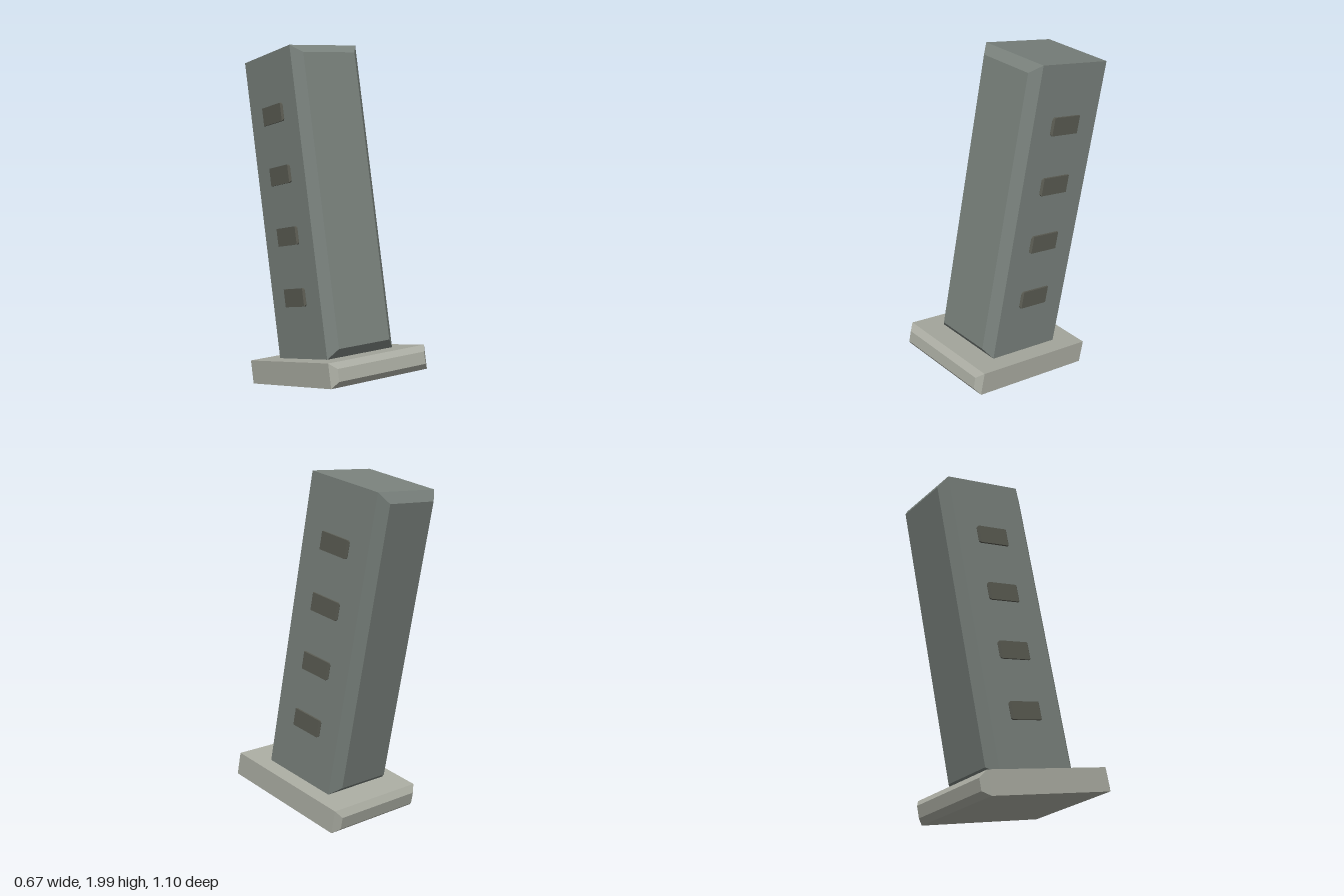
import * as THREE from 'three';

const TILT = THREE.MathUtils.degToRad(-12);

// Block extruded along z, with its front and back ends chamfered
function chamferedBlock(name, halfWidth, y0, y1, z0, z1, bevel, material) {
  const shape = new THREE.Shape([
    new THREE.Vector2(-halfWidth, y0),
    new THREE.Vector2(halfWidth, y0),
    new THREE.Vector2(halfWidth, y1),
    new THREE.Vector2(-halfWidth, y1),
  ]);
  const geometry = new THREE.ExtrudeGeometry(shape, {
    depth: z1 - z0 - 2 * bevel,
    bevelEnabled: true,
    bevelSegments: 1,
    bevelThickness: bevel,
    bevelSize: bevel,
    bevelOffset: -bevel,
  });
  geometry.translate(0, 0, z0 + bevel);
  const mesh = new THREE.Mesh(geometry, material);
  mesh.name = name;
  return mesh;
}

export function createModel() {
  const flat = (color) => new THREE.MeshStandardMaterial({ color, flatShading: true });
  const bodyMaterial = flat(0x78807b);
  const baseMaterial = flat(0xa9aba1);
  const slotMaterial = flat(0x595a51);

  const model = new THREE.Group();
  model.name = 'magazine';

  // Everything leans back together
  const leaning = new THREE.Group();
  leaning.name = 'leaningAssembly';
  leaning.rotation.x = TILT;
  model.add(leaning);

  // Tall body on a wider floor plate
  leaning.add(chamferedBlock('body', 0.229, 0.2, 1.962, -0.153, 0.443, 0.052, bodyMaterial));
  leaning.add(chamferedBlock('floorPlate', 0.335, 0.062, 0.2, -0.297, 0.587, 0.034, baseMaterial));

  // Four bars pass through the body and stand slightly proud on both sides
  for (let i = 0; i < 4; i++) {
    const y = 0.552 + i * 0.353;
    leaning.add(chamferedBlock('sideBar' + (i + 1), 0.241, y - 0.052, y + 0.052, 0.037, 0.251, 0.01, slotMaterial));
  }
  return model;
}
